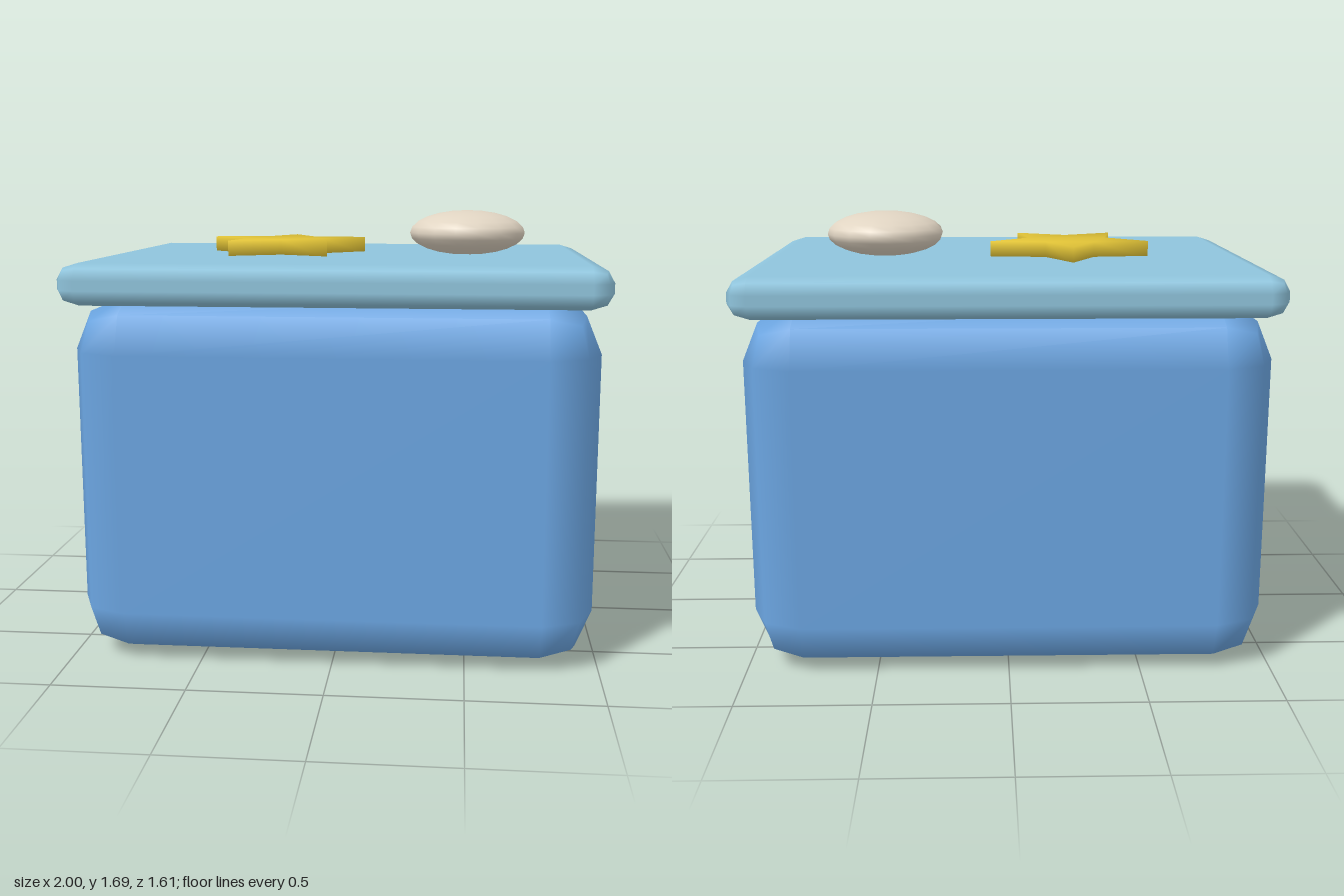
import * as THREE from 'three';
import { mergeVertices } from 'three/addons/utils/BufferGeometryUtils.js';
import { RoundedBoxGeometry } from 'three/addons/geometries/RoundedBoxGeometry.js';

function material(name, color) {
  const m = new THREE.MeshStandardMaterial({ color });
  m.name = name;
  return m;
}

// Five-pointed star plate lying flat, one point towards the back, softly shaded
function starGeometry(outer, inner, thickness) {
  const points = [];
  for (let i = 0; i < 10; i++) {
    const r = i % 2 ? inner : outer;
    const a = Math.PI / 2 + (i * Math.PI) / 5;
    points.push(new THREE.Vector2(r * Math.cos(a), r * Math.sin(a)));
  }
  const geo = new THREE.ExtrudeGeometry(new THREE.Shape(points), { depth: thickness, bevelEnabled: false });
  geo.rotateX(-Math.PI / 2);
  geo.deleteAttribute('normal');
  geo.deleteAttribute('uv');
  const merged = mergeVertices(geo, 1e-4);
  merged.computeVertexNormals();
  return merged;
}

export function createModel() {
  const group = new THREE.Group();
  const add = (name, geometry, mat, x, y, z) => {
    const mesh = new THREE.Mesh(geometry, mat);
    mesh.name = name;
    mesh.position.set(x, y, z);
    group.add(mesh);
    return mesh;
  };

  // Box body, its rounded top tucked into the lid
  add('body', new RoundedBoxGeometry(1.96, 1.38, 1.57, 1, 0.2), material('blue', 0x6ba5e1), 0, 0.69, 0);

  // Overhanging lid with a softened rim, slightly flattened
  const lid = new RoundedBoxGeometry(2, 0.21, 1.61, 1, 0.08);
  lid.scale(1, 0.155 / 0.21, 1);
  add('lid', lid, material('pale blue', 0x8fc4dc), 0, 1.4325, 0);

  // Ornaments on the lid
  add('star', starGeometry(0.334, 0.165, 0.07), material('gold', 0xdfc136), -0.257, 1.5, 0);

  const pebble = new THREE.SphereGeometry(1, 16, 12);
  pebble.rotateY(Math.PI / 16);
  pebble.scale(0.236, 0.09, 0.236);
  add('pebble', pebble, material('cream', 0xe0d4c2), 0.487, 1.595, 0);

  return group;
}
